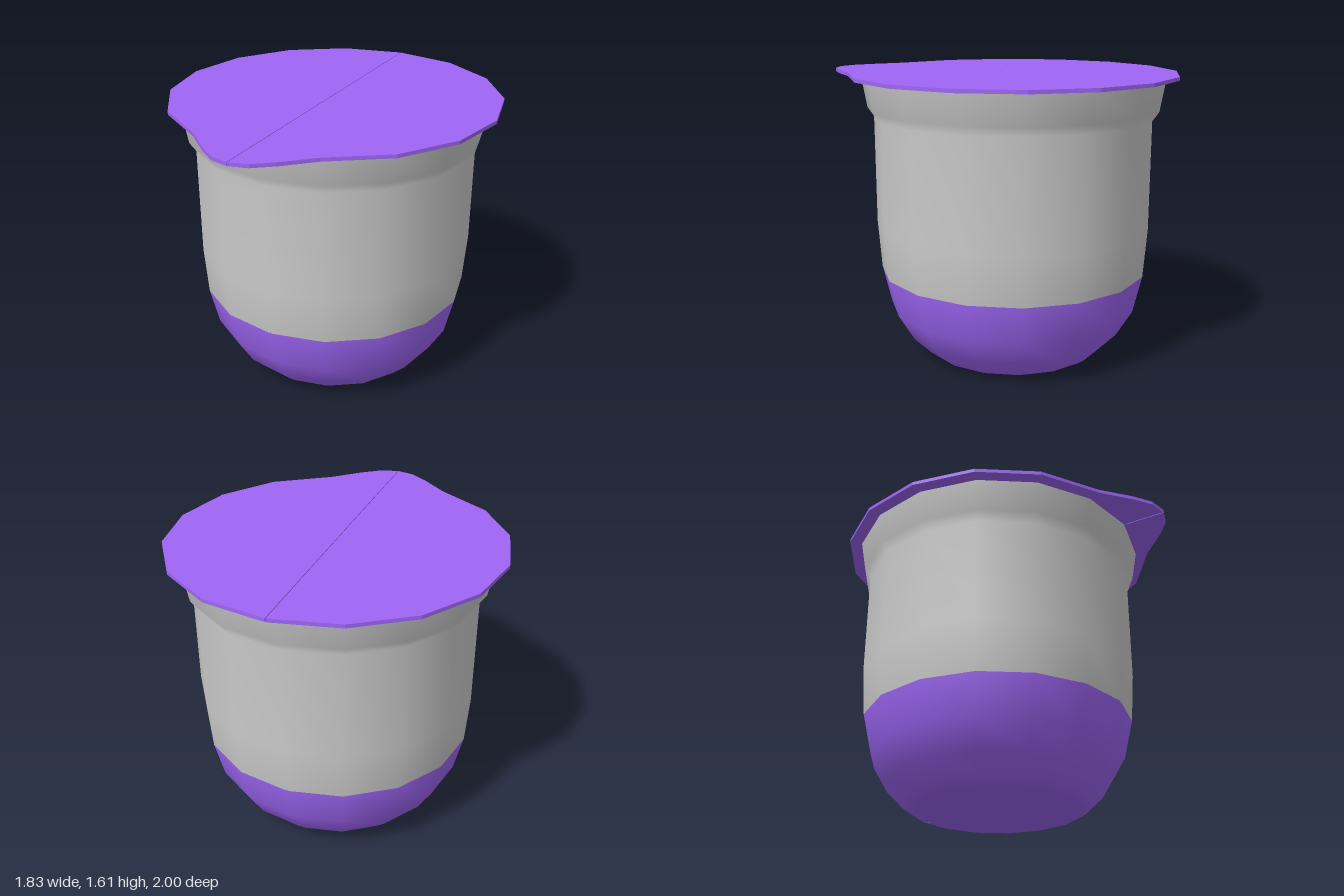
import * as THREE from 'three';

const PURPLE = 0x9f66f6, GREY = 0xcccccc;
const CENTRE_Z = -0.085, SPLIT_Y = 0.495, GAP = 0.002, LID_Y = 1.59;

// cup outline from the base centre to the rim: radius, height
const profile = [
  [0, 0], [0.4, 0], [0.46, 0.002], [0.49, 0.01], [0.525, 0.035], [0.62, 0.13], [0.71, 0.28],
  [0.76, SPLIT_Y], [0.78, 0.77], [0.78, 1.37], [0.815, 1.42], [0.845, LID_Y],
];

function part(name, geometry, color) {
  const mesh = new THREE.Mesh(geometry,
    new THREE.MeshStandardMaterial({ color, side: THREE.DoubleSide }));
  mesh.name = name;
  return mesh;
}

// turned wall, keeping only the faces above or below the colour line
function wall(inset, segments, start, length, upper) {
  const pts = profile.map(([r, y]) => new THREE.Vector2(Math.max(0, r - inset), y + (y < 0.1 ? inset : 0)));
  const geo = new THREE.LatheGeometry(pts, segments, start, length);
  const pos = geo.attributes.position, idx = geo.index.array, keep = [];
  for (let i = 0; i < idx.length; i += 3) {
    const y = (pos.getY(idx[i]) + pos.getY(idx[i + 1]) + pos.getY(idx[i + 2])) / 3;
    if ((y > SPLIT_Y) === upper) keep.push(idx[i], idx[i + 1], idx[i + 2]);
  }
  geo.setIndex(keep);
  return geo;
}

// half of the lid: sixteen-sided disc drawn out to a rounded tab at the front
function halfLid(side) {
  const outline = [];
  for (let i = 0; i <= 7; i++) {
    const a = i * Math.PI / 8;
    outline.push([0.915 * Math.sin(a), CENTRE_Z - 0.915 * Math.cos(a)]);
  }
  outline.push([0.2, 0.9], [0.1, 0.975], [0, 1]);
  const shape = new THREE.Shape(outline.map(([x, z]) => new THREE.Vector2(side * x, -z)));
  const geo = new THREE.ExtrudeGeometry(shape, { depth: 0.02, bevelEnabled: false });
  return geo.rotateX(-Math.PI / 2).translate(side * GAP, LID_Y, 0);
}

export function createModel() {
  const model = new THREE.Group();
  model.name = 'lidded cup';

  // two halves meeting at a fine seam
  for (const side of [1, -1]) {
    const label = side > 0 ? 'left' : 'right';
    const start = side > 0 ? 0 : Math.PI;
    for (const upper of [true, false]) {
      const geo = wall(0, 8, start, Math.PI, upper).translate(side * GAP, 0, CENTRE_Z);
      model.add(part(label + (upper ? 'CupWall' : 'CupBase'), geo, upper ? GREY : PURPLE));
    }
    model.add(part(label + 'Lid', halfLid(side), PURPLE));
  }

  // liner closing the seam from inside
  for (const upper of [true, false]) {
    const geo = wall(0.008, 16, 0, Math.PI * 2, upper).translate(0, 0, CENTRE_Z);
    model.add(part(upper ? 'wallLiner' : 'baseLiner', geo, upper ? GREY : PURPLE));
  }
  // strip under the lid seam
  const strip = new THREE.BoxGeometry(0.03, 0.006, 1.98).translate(0, LID_Y + 0.007, 0);
  model.add(part('lidSeam', strip, PURPLE));
  return model;
}
